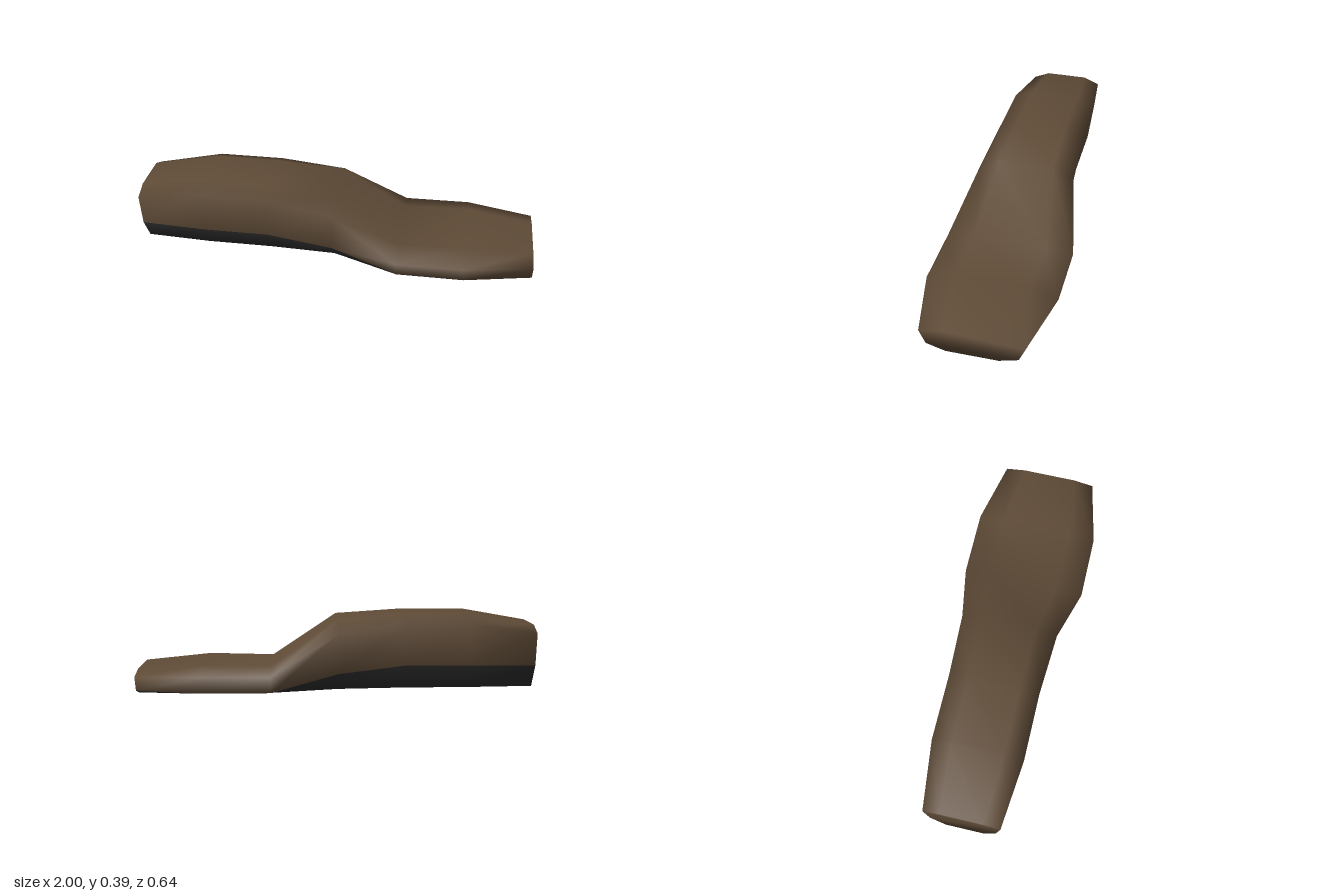
import * as THREE from 'three';

// Cross-sections along the shoe, heel to toe:
// x, half width, top y, shoulder y, seam y, bottom y
const SECTIONS = [
  [-1, 0.19, 0.335, 0.3, 0.135, 0.015],
  [-0.667, 0.227, 0.393, 0.355, 0.143, 0.015],
  [-0.333, 0.227, 0.393, 0.355, 0.143, 0.015],
  [0, 0.246, 0.37, 0.31, 0.105, 0.012],
  [0.333, 0.32, 0.143, 0.11, 0.025, 0.002],
  [0.667, 0.32, 0.152, 0.113, 0.025, 0],
  [1, 0.246, 0.125, 0.103, 0.03, 0.002],
];
// Share of the half width at top, shoulder, seam and bottom
const WIDTHS = [0.575, 1, 0.875, 0.5];
const N = 8;

export function createModel() {
  const brown = new THREE.MeshStandardMaterial({ color: 0x5f4b37 });
  brown.name = 'brown leather';
  const black = new THREE.MeshStandardMaterial({ color: 0x2b2b2b });
  black.name = 'black rubber';

  // Eight-sided rings, mirrored from left to right
  const positions = [];
  for (const [x, half, ...heights] of SECTIONS) {
    for (let j = 0; j < N; j++) {
      const k = j < 4 ? j : N - 1 - j;
      positions.push(x, heights[k], (j < 4 ? 1 : -1) * half * WIDTHS[k]);
    }
  }

  // Side bands: those below the seam belong to the sole
  const upperIndex = [];
  const soleIndex = [];
  for (let i = 0; i < SECTIONS.length - 1; i++) {
    for (let j = 0; j < N; j++) {
      const a = i * N + j;
      const b = i * N + ((j + 1) % N);
      const list = j >= 2 && j <= 4 ? soleIndex : upperIndex;
      list.push(a, b, a + N, b, b + N, a + N);
    }
  }

  // Heel and toe ends, as strips across the ring
  const last = (SECTIONS.length - 1) * N;
  for (let k = 0; k < 3; k++) {
    const [a, b, c, d] = [k, k + 1, 6 - k, 7 - k];
    upperIndex.push(last + a, last + b, last + c, last + a, last + c, last + d);
    upperIndex.push(c, b, a, d, c, a);
  }

  // Shared smooth normals keep the shading continuous over the seam
  const whole = new THREE.BufferGeometry();
  whole.setAttribute('position', new THREE.Float32BufferAttribute(positions, 3));
  whole.setIndex([...upperIndex, ...soleIndex]);
  whole.computeVertexNormals();

  const part = (name, index, material) => {
    const geometry = whole.clone();
    geometry.setIndex(index);
    const mesh = new THREE.Mesh(geometry, material);
    mesh.name = name;
    return mesh;
  };

  const group = new THREE.Group();
  group.name = 'shoe';
  group.add(part('upper', upperIndex, brown), part('sole', soleIndex, black));
  return group;
}
